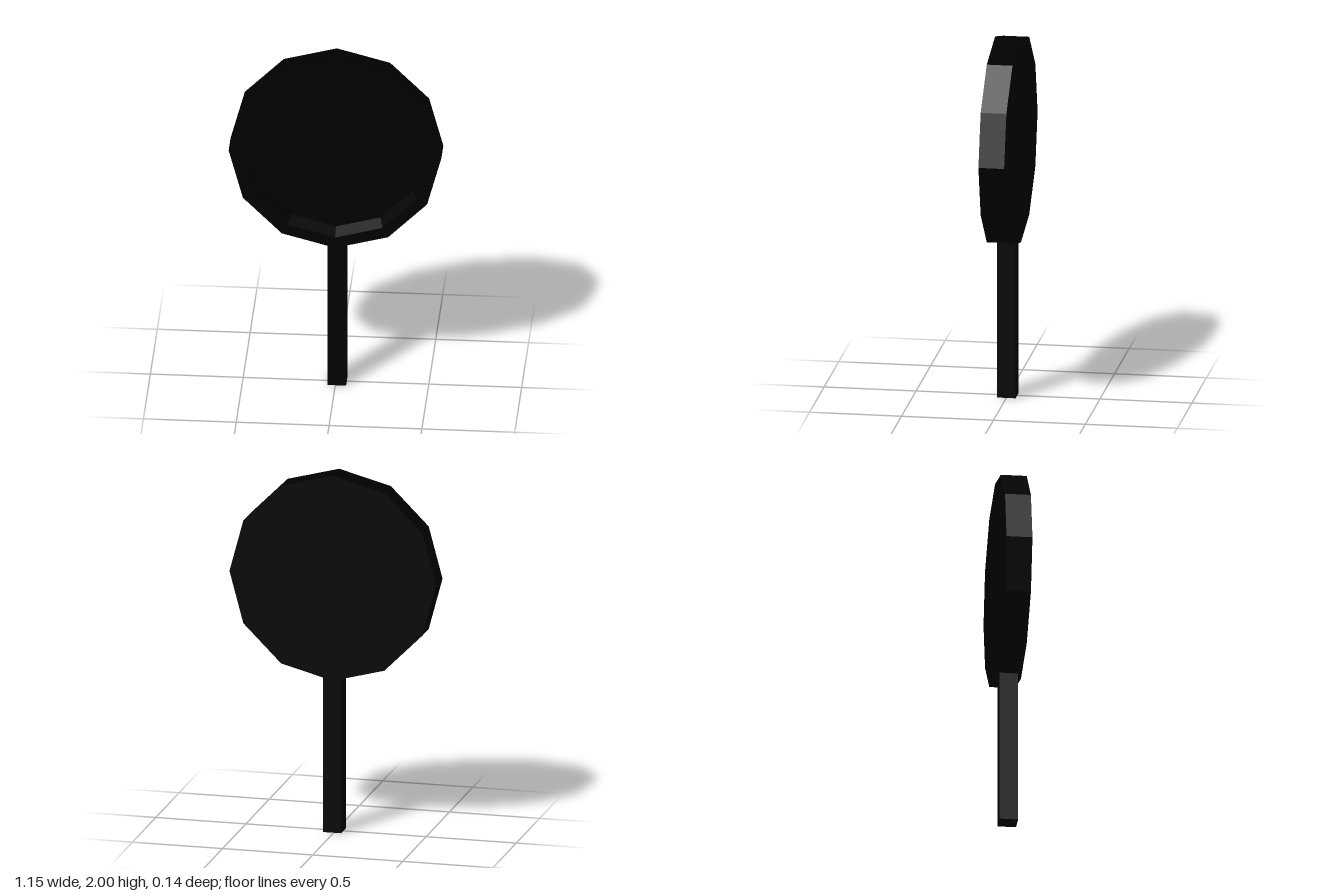
import * as THREE from 'three';

export function createModel() {
  const model = new THREE.Group();
  const black = new THREE.MeshStandardMaterial({ color: 0x000000, flatShading: true });
  const centreY = 1.427;

  function add(name, geometry, x, y, z) {
    const mesh = new THREE.Mesh(geometry, black);
    mesh.name = name;
    mesh.position.set(x, y, z);
    model.add(mesh);
    return mesh;
  }

  // Twelve-sided plate: flat back, raised rim, bevelled recess in front
  const profile = [
    [0, -0.07], [0.573, -0.07], [0.573, 0.07], [0.51, 0.07], [0.48, 0], [0, 0],
  ].map(([r, h]) => new THREE.Vector2(r, h));
  const plate = new THREE.LatheGeometry(profile, 12).rotateX(Math.PI / 2);
  add('signPlate', plate, 0, centreY, 0);

  // Raised arrow pointing to +x, with swept-back head corners
  const upper = [[-0.42, 0.1], [0.09, 0.1], [-0.02, 0.215], [0.21, 0.215], [0.45, 0]];
  const lower = upper.slice(0, -1).reverse().map(([x, y]) => [x, -y]);
  const outline = new THREE.Shape([...upper, ...lower].map(([x, y]) => new THREE.Vector2(x, y)));
  const arrow = new THREE.ExtrudeGeometry(outline, { depth: 0.025, bevelEnabled: false });
  add('arrow', arrow, 0, centreY - 0.005, -0.005);

  // Square post, its top tucked into the plate
  add('post', new THREE.BoxGeometry(0.1, 0.89, 0.1), 0.008, 0.445, 0);

  return model;
}
